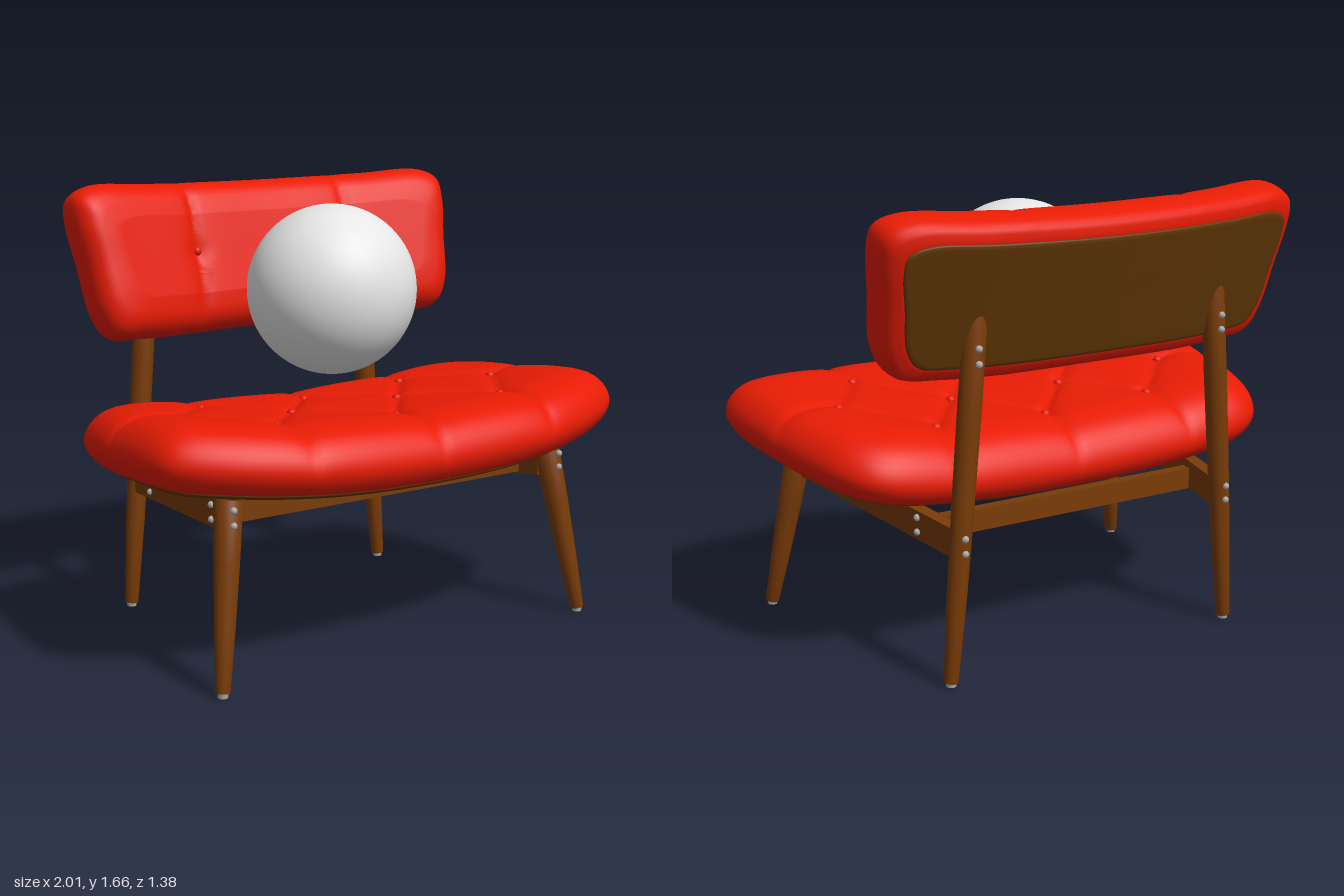
import * as THREE from 'three';

const mat = (name, color) => {
  const m = new THREE.MeshStandardMaterial({ color });
  m.name = name;
  return m;
};
const V = (x, y, z) => new THREE.Vector3(x, y, z);

// Distance from (a, b) to the segment p-q, all in the cushion's own plane
function segDist(a, b, [px, py], [qx, qy]) {
  const dx = qx - px, dy = qy - py;
  const t = THREE.MathUtils.clamp(((a - px) * dx + (b - py) * dy) / (dx * dx + dy * dy), 0, 1);
  return Math.hypot(a - px - t * dx, b - py - t * dy);
}

// Depth pressed into a cushion by its seams and buttons (mirrored in a)
function dent(a, b, seams, buttons) {
  const x = Math.abs(a);
  let d = 9, e = 9;
  for (const [p, q] of seams) d = Math.min(d, segDist(x, b, p, q));
  for (const [p, q] of buttons) e = Math.min(e, Math.hypot(x - p, b - q));
  return 0.01 * Math.exp(-((d / 0.018) ** 2)) + 0.015 * Math.exp(-d / 0.08)
    + 0.01 * Math.exp(-((e / 0.04) ** 2));
}

// Closed pad: rings of a mirrored outline follow a profile of [inset, height], then place() bends it
function padGeometry(half, profile, place, press = () => 0) {
  const N = 240;
  const pts = half.map(([a, b]) => V(a, b, 0));
  for (let i = half.length - 2; i > 0; i--) pts.push(V(-half[i][0], half[i][1], 0));
  const loop = new THREE.CatmullRomCurve3(pts, true, 'centripetal').getSpacedPoints(N);
  const A = Math.max(...half.map(p => p[0]));
  const lo = half[0][1], hi = half[half.length - 1][1];
  const B = (hi - lo) / 2, c = (hi + lo) / 2;
  const curve = new THREE.CatmullRomCurve3(profile.map(([i, h]) => V(i, h, 0)), false, 'centripetal');
  const side = curve.getPoints(profile.length * 3);
  const top = Math.max(...profile.map(p => p[1]));
  const rings = [];
  for (let k = 0; k < 8; k++) rings.push([side[0].x, side[0].y, k / 8]);
  side.forEach(p => rings.push([p.x, p.y, 1]));
  for (let k = 31; k >= 0; k--) rings.push([side[side.length - 1].x, side[side.length - 1].y, k / 32]);
  const pos = [], index = [];
  rings.forEach(([inset, h, s], r) => {
    for (let i = 0; i < N; i++) {
      const a = loop[i].x * (1 - inset / A) * s;
      const b = c + (loop[i].y - c) * (1 - inset / B) * s;
      const drop = h > 0 ? press(a, b) * h / top : 0;
      pos.push(...place(a, b, h - drop).toArray());
      if (r) {
        const j = (i + 1) % N, p = (r - 1) * N, q = r * N;
        index.push(p + i, p + j, q + j, p + i, q + j, q + i);
      }
    }
  });
  const g = new THREE.BufferGeometry();
  g.setAttribute('position', new THREE.Float32BufferAttribute(pos, 3));
  g.setIndex(index);
  g.computeVertexNormals();
  return g;
}

export function createModel() {
  const model = new THREE.Group();
  const red = mat('red upholstery', 0xe91c04);
  const wood = mat('brown wood', 0x793b06);
  const dark = mat('dark wood panel', 0x633806);
  const metal = mat('grey metal', 0xa6a6a6);
  const pale = mat('pale grey', 0xe6e6e6);
  const add = (name, geo, material, at) => {
    const m = new THREE.Mesh(geo, material);
    m.name = name;
    if (at) m.position.copy(at);
    model.add(m);
    return m;
  };
  const buttonGeo = new THREE.SphereGeometry(0.018, 16, 10);
  const boltGeo = new THREE.SphereGeometry(0.013, 12, 8);

  // Seat: dished sideways and tilted back; b runs towards the rear
  const seatPlace = (a, b, h) => V(a, 0.62 + 0.08 * a * a - 0.07 * b + h, -b);
  const seatHalf = [[0, -0.69], [0.5, -0.67], [0.8, -0.58], [0.97, -0.47], [1, -0.38], [0.985, -0.1],
    [0.945, 0.15], [0.88, 0.34], [0.78, 0.43], [0.45, 0.465], [0, 0.465]];
  const m = [0.24, -0.07], r = [0.46, 0.21], s = [0.71, -0.06], f = [0.5, -0.37], c = [0, -0.39], k = [0, 0.21];
  const seatSeams = [[r, s], [s, f], [f, m], [m, r], [m, c], [m, k], [s, [1, -0.03]],
    [f, [0.52, -0.7]], [c, [0, -0.7]], [r, [0.5, 0.5]], [k, [0, 0.5]]];
  const seatButtons = [m, r, s, f, c, k];
  const seatPress = (a, b) => dent(a, b, seatSeams, seatButtons);
  add('seatCushion', padGeometry(seatHalf, [[0.11, -0.005], [0.04, 0.012], [0, 0.075], [0.014, 0.142],
    [0.07, 0.205], [0.17, 0.238], [0.28, 0.24]], seatPlace, seatPress), red);
  add('seatPan', padGeometry(seatHalf, [[0.1, -0.016], [0.075, -0.004], [0.08, 0.02]], seatPlace), dark);

  // Backrest: leaning back and wrapping forward at both ends
  const backPlace = (a, b, h) => V(a, 1.345 + b + 0.25 * h + 0.02 * a * a, -0.626 + 0.13 * a * a - 0.3 * b + h);
  const backHalf = [[0, -0.285], [0.6, -0.29], [0.74, -0.275], [0.79, -0.2], [0.82, 0], [0.84, 0.15],
    [0.83, 0.23], [0.76, 0.268], [0.5, 0.268], [0, 0.265]];
  const backSeams = [[[0.35, -0.3], [0.35, 0.3]]];
  const backButtons = [[0.35, 0]];
  const backPress = (a, b) => dent(a, b, backSeams, backButtons);
  add('backCushion', padGeometry(backHalf, [[0.06, 0], [0.015, 0.02], [0, 0.1], [0.012, 0.165],
    [0.055, 0.21], [0.13, 0.228]], backPlace, backPress), red);
  add('backPanel', padGeometry(backHalf, [[0.075, -0.009], [0.062, -0.004], [0.062, 0.02]], backPlace), dark);

  // Upholstery buttons
  const addButtons = (name, list, place, press, h) => {
    for (const [a, b] of list) for (const x of a ? [a, -a] : [0])
      add(name, buttonGeo, red, place(x, b, h - press(x, b) + 0.004));
  };
  addButtons('seatButton', seatButtons, seatPlace, seatPress, 0.24);
  addButtons('backButton', backButtons, backPlace, backPress, 0.228);

  // Turned leg between two points; radii are spaced evenly up its length
  const leg = (name, from, to, radii) => {
    const len = from.distanceTo(to);
    const pts = radii.map((q, i) => new THREE.Vector2(q, len * i / (radii.length - 1)));
    const geo = new THREE.LatheGeometry([new THREE.Vector2(0, 0), ...pts, new THREE.Vector2(0, len)], 28);
    const dir = to.clone().sub(from).normalize();
    add(name, geo, wood, from).quaternion.setFromUnitVectors(V(0, 1, 0), dir);
    add('footGlide', new THREE.CylinderGeometry(0.02, 0.018, 0.02, 20), metal, V(from.x, 0.01, from.z));
  };

  for (const d of [1, -1]) {
    leg('frontLeg', V(d * 0.805, 0.015, 0.5), V(d * 0.712, 0.655, 0.4), [0.026, 0.037, 0.045, 0.05]);
    leg('backLeg', V(d * 0.598, 0.015, -0.541), V(d * 0.495, 1.31, -0.55), [0.026, 0.036, 0.04, 0.042, 0.041]);

    // Side rail joining front and back legs
    const a = V(d * 0.7, 0.594, 0.39), b = V(d * 0.555, 0.515, -0.54);
    const rail = add('sideRail', new THREE.BoxGeometry(0.05, 0.105, a.distanceTo(b)), wood,
      a.clone().add(b).multiplyScalar(0.5));
    rail.lookAt(a);

    // Pairs of bolts at each joint
    const pairs = [[0.728, 0.58, 0.458], [0.71, 0.56, 0.28], [0.613, 0.508, -0.34],
      [0.56, 0.49, -0.582], [0.508, 1.147, -0.592]];
    for (const [x, y, z] of pairs) for (const up of [0, 0.053])
      add('bolt', boltGeo, metal, V(d * x, y + up, z));
  }

  // Cross rails and the metal plate under the seat
  add('frontCrossRail', new THREE.BoxGeometry(1.34, 0.085, 0.045), wood, V(0, 0.581, 0.28));
  add('rearCrossRail', new THREE.BoxGeometry(1.14, 0.08, 0.045), wood, V(0, 0.515, -0.34));
  add('underPlate', new THREE.BoxGeometry(0.66, 0.03, 0.34), metal, V(0, 0.615, 0.06)).rotation.x = -0.07;

  // Ball hovering above the seat
  add('ball', new THREE.SphereGeometry(0.318, 64, 40), pale, V(0, 1.27, -0.018));
  return model;
}
